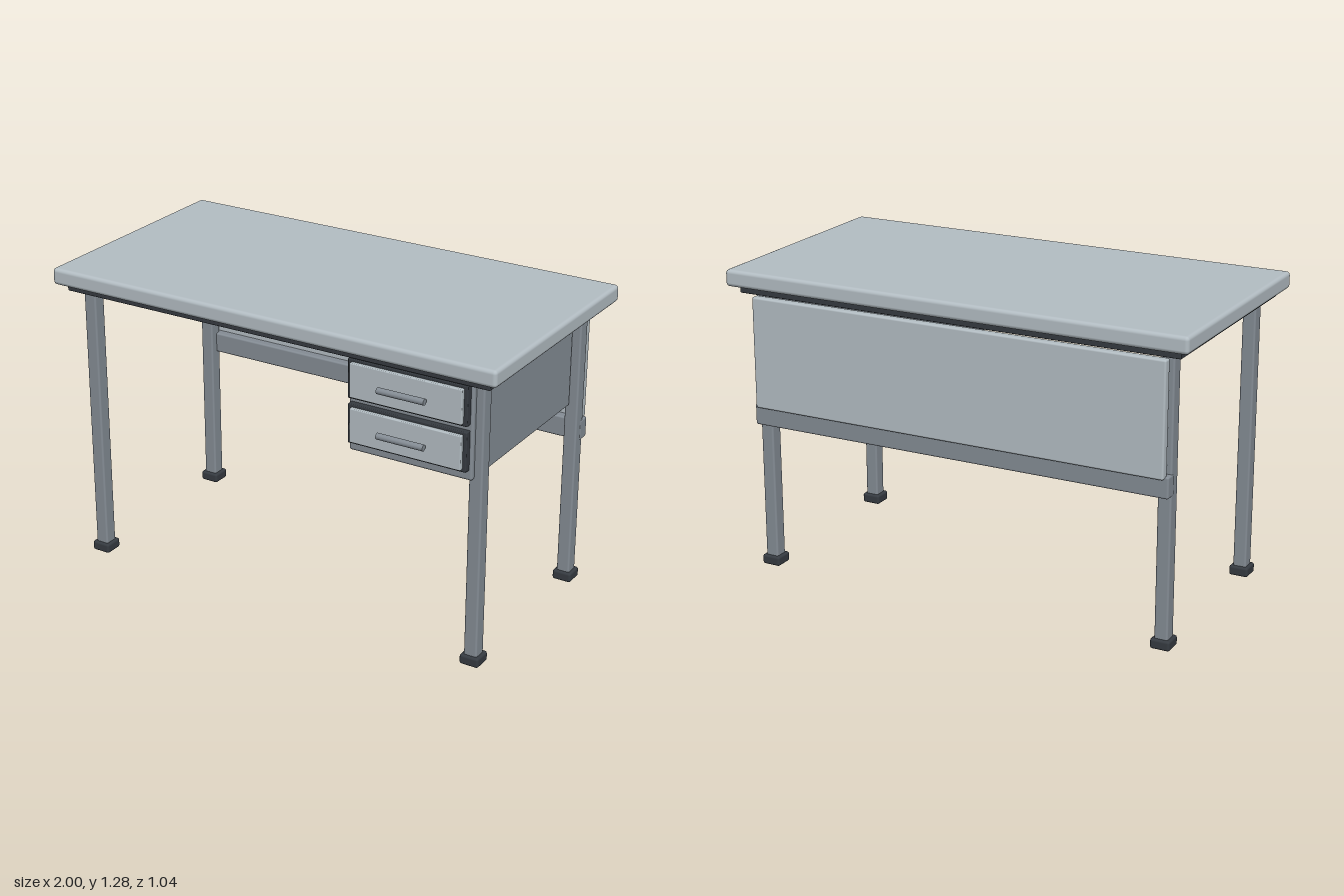
import * as THREE from 'three';
import { RoundedBoxGeometry } from 'three/addons/geometries/RoundedBoxGeometry.js';

const material = (name, color) => {
  const m = new THREE.MeshStandardMaterial({ color });
  m.name = name;
  return m;
};

export function createModel() {
  const desk = new THREE.Group();
  desk.name = 'desk';
  const light = material('light grey', 0xb4bec4);
  const steel = material('steel grey', 0x858d95);
  const dark = material('charcoal', 0x363b41);

  // Rounded box given by its extents on each axis
  const slab = (name, mat, [x0, x1], [y0, y1], [z0, z1], radius, parent = desk) => {
    const geometry = new RoundedBoxGeometry(x1 - x0, y1 - y0, z1 - z0, 2, radius);
    const mesh = new THREE.Mesh(geometry, mat);
    mesh.name = name;
    mesh.position.set((x0 + x1) / 2, (y0 + y1) / 2, (z0 + z1) / 2);
    parent.add(mesh);
    return mesh;
  };

  // Top and the dark frame under it
  slab('top', light, [-1, 1], [1.21, 1.28], [-0.52, 0.51], 0.016);
  slab('underframe', dark, [-0.957, 0.957], [1.18, 1.212], [-0.48, 0.47], 0.004);

  // Four square legs with feet
  for (const side of [-1, 1]) {
    for (const z of [-0.405, 0.395]) {
      const x = side * 0.885;
      const leg = new THREE.Group();
      leg.name = `${z > 0 ? 'front' : 'back'}${side > 0 ? 'Left' : 'Right'}Leg`;
      slab('post', steel, [x - 0.028, x + 0.028], [0.02, 1.17], [z - 0.029, z + 0.029], 0.008, leg);
      slab('foot', dark, [x - 0.041, x + 0.041], [0, 0.042], [z - 0.041, z + 0.041], 0.01, leg);
      desk.add(leg);
    }
  }

  // Back panel and rail
  slab('backPanel', light, [-0.9, 0.9], [0.705, 1.17], [-0.485, -0.447], 0.008);
  slab('backRail', steel, [-0.915, 0.915], [0.627, 0.715], [-0.468, -0.41], 0.008);

  // Drawer cabinet
  slab('cabinet', steel, [0.35, 0.88], [0.79, 1.18], [-0.373, 0.443], 0.01);

  // Two drawers with dark surrounds and bar handles
  for (const [name, y] of [['upperDrawer', 1.097], ['lowerDrawer', 0.913]]) {
    const drawer = new THREE.Group();
    drawer.name = name;
    slab('surround', dark, [0.36, 0.868], [y - 0.081, y + 0.081], [0.44, 0.469], 0.004, drawer);
    slab('drawerFront', light, [0.376, 0.853], [y - 0.07, y + 0.07], [0.46, 0.486], 0.004, drawer);
    const handle = new THREE.Mesh(new THREE.CylinderGeometry(0.013, 0.013, 0.2, 16), steel);
    handle.name = 'handle';
    handle.rotation.z = Math.PI / 2;
    handle.position.set(0.614, y, 0.512);
    drawer.add(handle);
    desk.add(drawer);
  }

  return desk;
}
